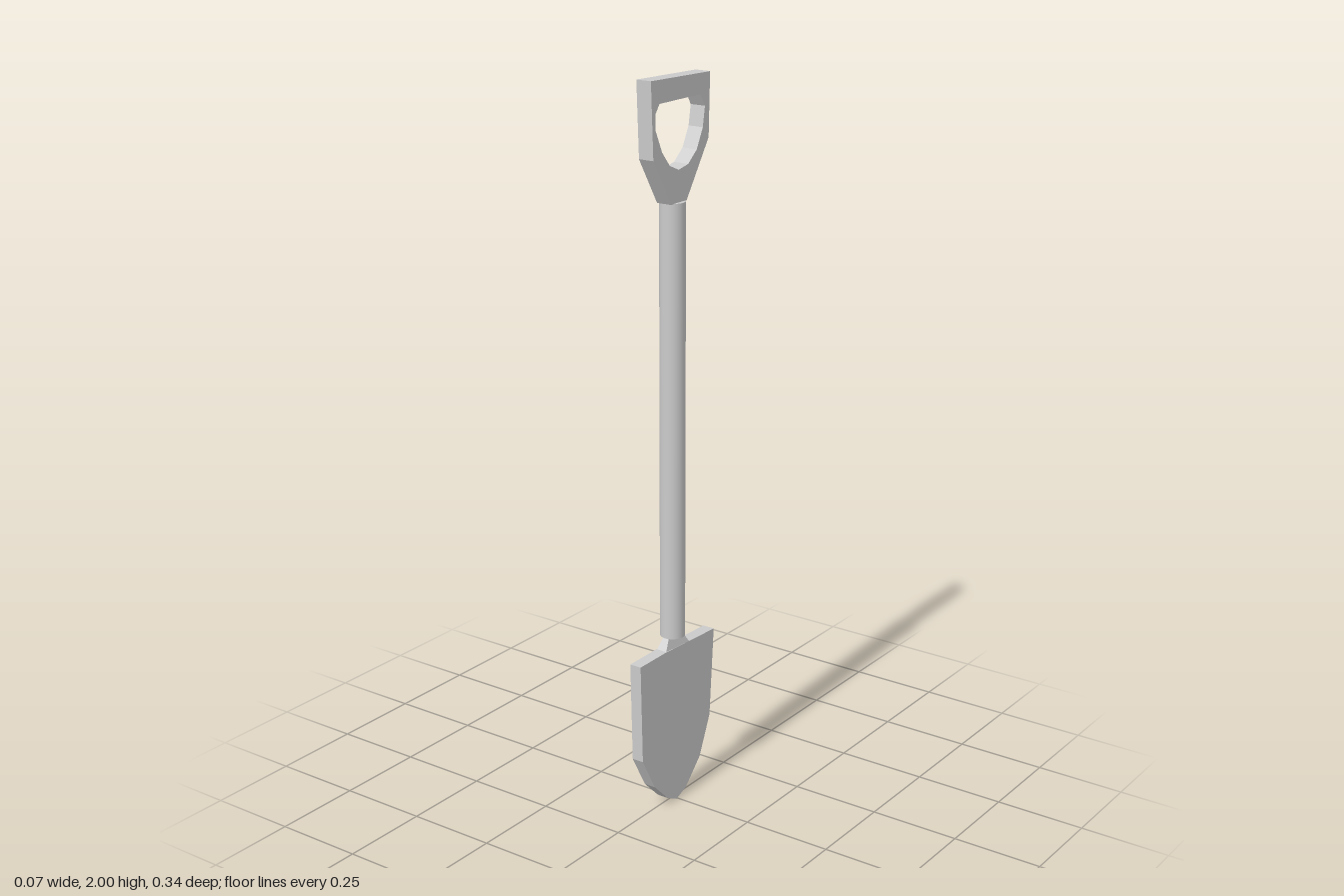
import * as THREE from 'three';

const material = new THREE.MeshStandardMaterial({ color: 0xcccccc });
const flatMaterial = new THREE.MeshStandardMaterial({ color: 0xcccccc, flatShading: true });

// Outlines are [z, y] pairs; the plate is centred on x = 0.
const toPoints = (pairs) => pairs.map(([z, y]) => new THREE.Vector2(-z, y));

// The hole runs the opposite way round to the outline, so its walls face inwards.
function plate(name, outline, thickness, hole) {
  const shape = new THREE.Shape(toPoints(outline));
  if (hole) shape.holes.push(new THREE.Path(toPoints(hole)));
  const geometry = new THREE.ExtrudeGeometry(shape, { depth: thickness, bevelEnabled: false });
  geometry.translate(0, 0, -thickness / 2);
  geometry.rotateY(Math.PI / 2);
  const mesh = new THREE.Mesh(geometry, flatMaterial);
  mesh.name = name;
  return mesh;
}

export function createModel() {
  const model = new THREE.Group();
  model.name = 'shovel';

  // Blade with a rounded point
  model.add(plate('blade', [
    [0.168, 0.46], [0.053, 0.461], [-0.058, 0.456], [-0.171, 0.451], [-0.153, 0.196],
    [-0.106, 0.086], [-0.04, 0.018], [0.004, 0], [0.046, 0.02], [0.106, 0.079], [0.16, 0.178],
  ], 0.034));

  // Tapered neck between blade and shaft
  const neckGeometry = new THREE.BoxGeometry(0.034, 0.042, 0.11);
  const p = neckGeometry.attributes.position;
  for (let i = 0; i < p.count; i++) {
    if (p.getY(i) > 0) p.setXYZ(i, p.getX(i) * 0.45, p.getY(i), p.getZ(i) * 0.48);
  }
  const neck = new THREE.Mesh(neckGeometry, flatMaterial);
  neck.name = 'neck';
  neck.position.y = 0.475;
  model.add(neck);

  // Round shaft
  const shaft = new THREE.Mesh(new THREE.CylinderGeometry(0.034, 0.034, 1.19, 20), material);
  shaft.name = 'shaft';
  shaft.position.y = 1.086;
  model.add(shaft);

  // D-shaped grip with a hand opening
  model.add(plate('grip', [
    [0.12, 2], [-0.131, 1.992], [-0.126, 1.826], [-0.03, 1.68], [0.036, 1.68], [0.111, 1.803],
  ], 0.044, [
    [0.101, 1.918], [0.101, 1.876], [0.074, 1.818], [0.042, 1.78], [0.004, 1.764], [-0.037, 1.772],
    [-0.074, 1.803], [-0.1, 1.855], [-0.109, 1.908], [-0.09, 1.94], [0.085, 1.94],
  ]));

  return model;
}
